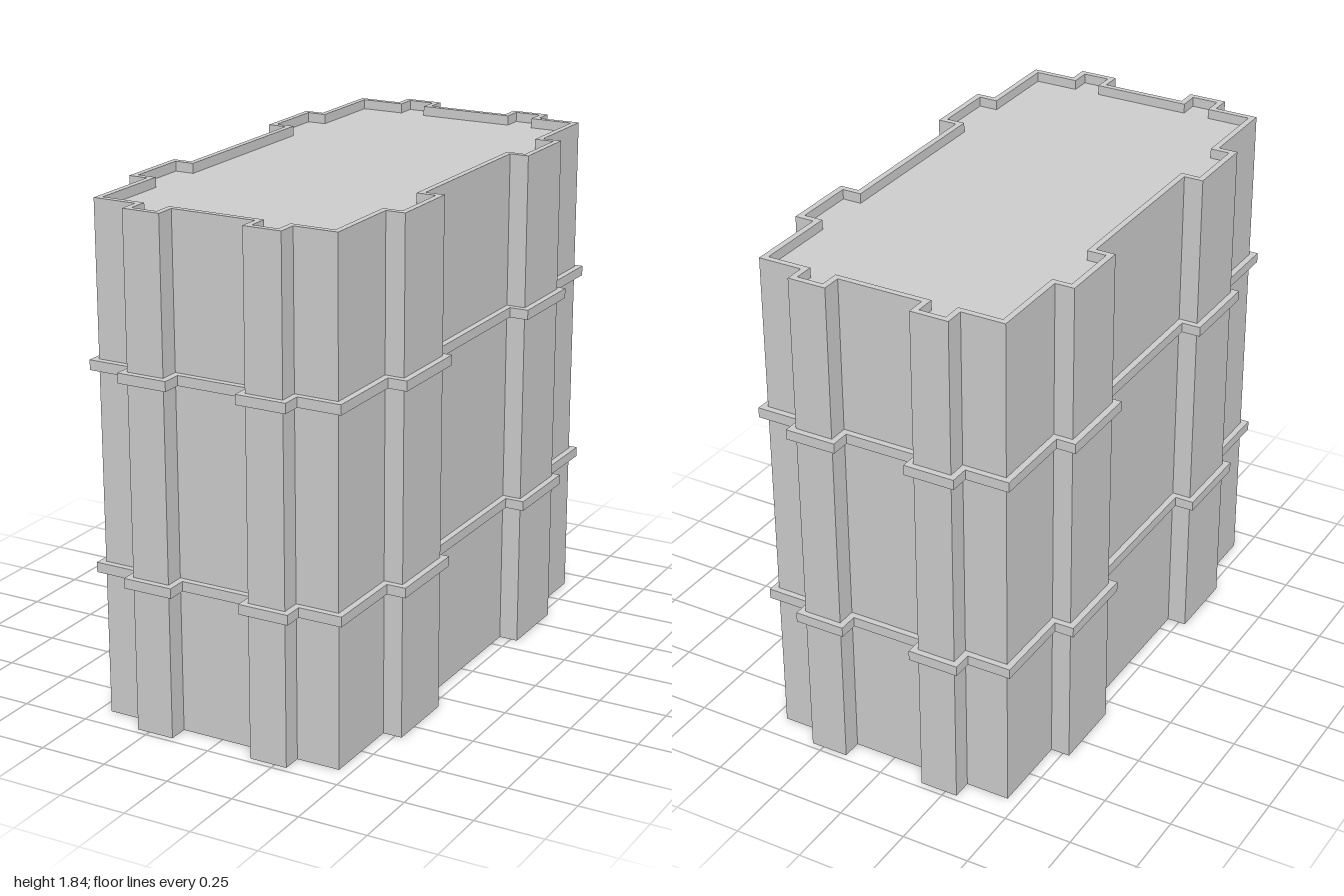
import * as THREE from 'three';

const material = new THREE.MeshStandardMaterial({ color: 0xcccccc, flatShading: true, side: THREE.DoubleSide });

// Plan outline [x, z] with buttresses on all sides, grown outward by d
function outline(d) {
  const q = [
    [0.455 + d, 0.32 - d], [0.525 + d, 0.32 - d], [0.525 + d, 0.595 + d],
    [0.455 + d, 0.595 + d], [0.455 + d, 0.905 + d], [0.295 + d, 0.905 + d],
    [0.295 + d, 0.978 + d], [0.155 - d, 0.978 + d], [0.155 - d, 0.905 + d],
  ];
  const r = [...q].reverse();
  return [
    ...q,
    ...r.map(([x, z]) => [-x, z]),
    ...q.map(([x, z]) => [-x, -z]),
    ...r.map(([x, z]) => [x, -z]),
  ];
}

// Skin between successive outlines, each section given as [offset, height]
function skin(name, sections) {
  const pos = [];
  for (let s = 0; s < sections.length - 1; s++) {
    const [d0, y0] = sections[s], [d1, y1] = sections[s + 1];
    const lo = outline(d0), hi = outline(d1);
    for (let i = 0; i < lo.length; i++) {
      const j = (i + 1) % lo.length;
      const a0 = [lo[i][0], y0, lo[i][1]], b0 = [lo[j][0], y0, lo[j][1]];
      const a1 = [hi[i][0], y1, hi[i][1]], b1 = [hi[j][0], y1, hi[j][1]];
      pos.push(...a0, ...a1, ...b1, ...a0, ...b1, ...b0);
    }
  }
  const geo = new THREE.BufferGeometry();
  geo.setAttribute('position', new THREE.Float32BufferAttribute(pos, 3));
  geo.computeVertexNormals();
  const mesh = new THREE.Mesh(geo, material);
  mesh.name = name;
  return mesh;
}

export function createModel() {
  const group = new THREE.Group();
  group.name = 'building';

  const height = 1.84, roofY = 1.805, rim = -0.022, ledge = 0.023, ledgeH = 0.036;
  const ledges = [0.529, 1.254];

  // Three storeys of wall, open underneath
  const storeys = [[0, ledges[0]], [ledges[0] + ledgeH, ledges[1]], [ledges[1] + ledgeH, height]];
  storeys.forEach(([y0, y1], i) => group.add(skin(`wall${i + 1}`, [[0, y0], [0, y1]])));

  // Projecting string courses, hollow on the inside
  ledges.forEach((y, i) => group.add(
    skin(`ledge${i + 1}`, [[0, y], [ledge, y], [ledge, y + ledgeH], [0, y + ledgeH]])));

  // Parapet around the sunken roof
  group.add(skin('parapet', [[0, height], [rim, height], [rim, roofY]]));

  const shape = new THREE.Shape(outline(rim).map(([x, z]) => new THREE.Vector2(x, -z)));
  const roof = new THREE.Mesh(new THREE.ShapeGeometry(shape).rotateX(-Math.PI / 2), material);
  roof.position.y = roofY;
  roof.name = 'roof';
  group.add(roof);

  return group;
}
